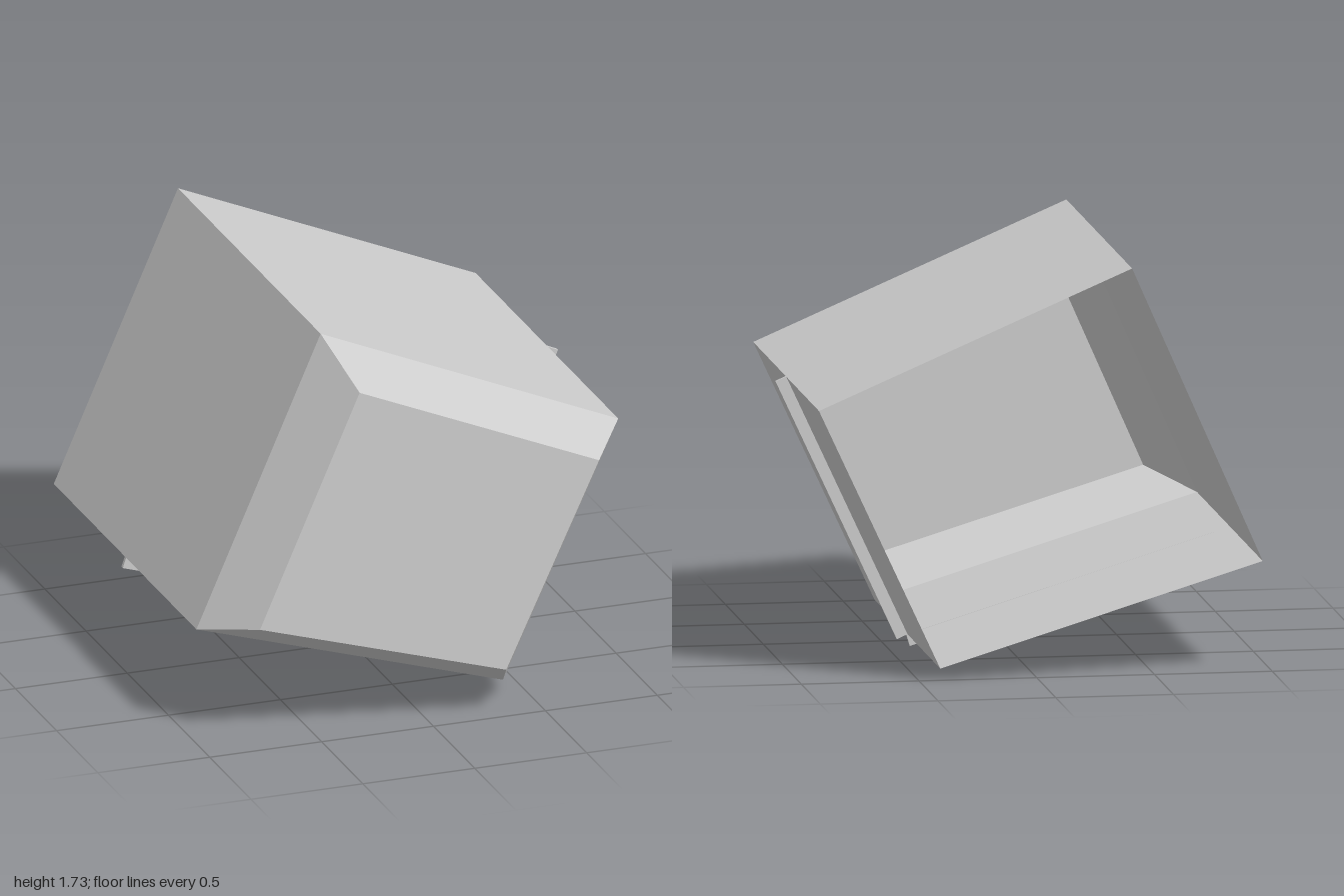
import * as THREE from 'three';

const grey = new THREE.MeshStandardMaterial({ color: 0xcccccc, side: THREE.DoubleSide });
grey.name = 'plain grey';

// Cross-sections, clockwise seen from the front: top, left, bottom, right corner
const outer = [[-0.405, 1.73], [0.925, 1.16], [0.41, 0.05], [-0.96, 0.47]];
const inner = [[-0.33, 1.555], [0.74, 1.1], [0.325, 0.21], [-0.775, 0.545]];

function mesh(name, geometry) {
  const m = new THREE.Mesh(geometry, grey);
  m.name = name;
  return m;
}

// Flat-faced surface made of quads, each with its own corners
function quads(list) {
  const points = [];
  for (const [a, b, c, d] of list) points.push(...a, ...b, ...c, ...a, ...c, ...d);
  const g = new THREE.BufferGeometry();
  g.setAttribute('position', new THREE.Float32BufferAttribute(points, 3));
  g.computeVertexNormals();
  return g;
}

// Four walls between a rear and a front cross-section
function loft(rear, zRear, front, zFront) {
  return quads(rear.map((p, i) => {
    const j = (i + 1) % rear.length;
    return [[...p, zRear], [...front[i], zFront], [...front[j], zFront], [...rear[j], zRear]];
  }));
}

// Thin fin standing out from a wall
function fin(name, corners) {
  const shape = new THREE.Shape(corners.map(([x, y]) => new THREE.Vector2(x, y)));
  const g = new THREE.ExtrudeGeometry(shape, { depth: 0.017, bevelEnabled: false });
  g.translate(0, 0, -0.139);
  return mesh(name, g);
}

export function createModel() {
  const model = new THREE.Group();
  model.name = 'openBackHousing';

  // Hollow shell, open at the back
  model.add(mesh('housingWalls', loft(outer, -1, outer, 0.73)));
  model.add(mesh('frontBevel', loft(outer, 0.73, inner, 1)));
  model.add(mesh('frontPanel', quads([[...inner].reverse().map((p) => [...p, 1])])));

  // Fins on the left wall and the underside
  model.add(fin('sideFin', [[0.925, 1.16], [0.41, 0.05], [0.455, 0.03], [0.97, 1.14]]));
  model.add(fin('bottomFin', [[-0.96, 0.47], [-0.975, 0.425], [0.4, 0], [0.415, 0.05]]));
  return model;
}
